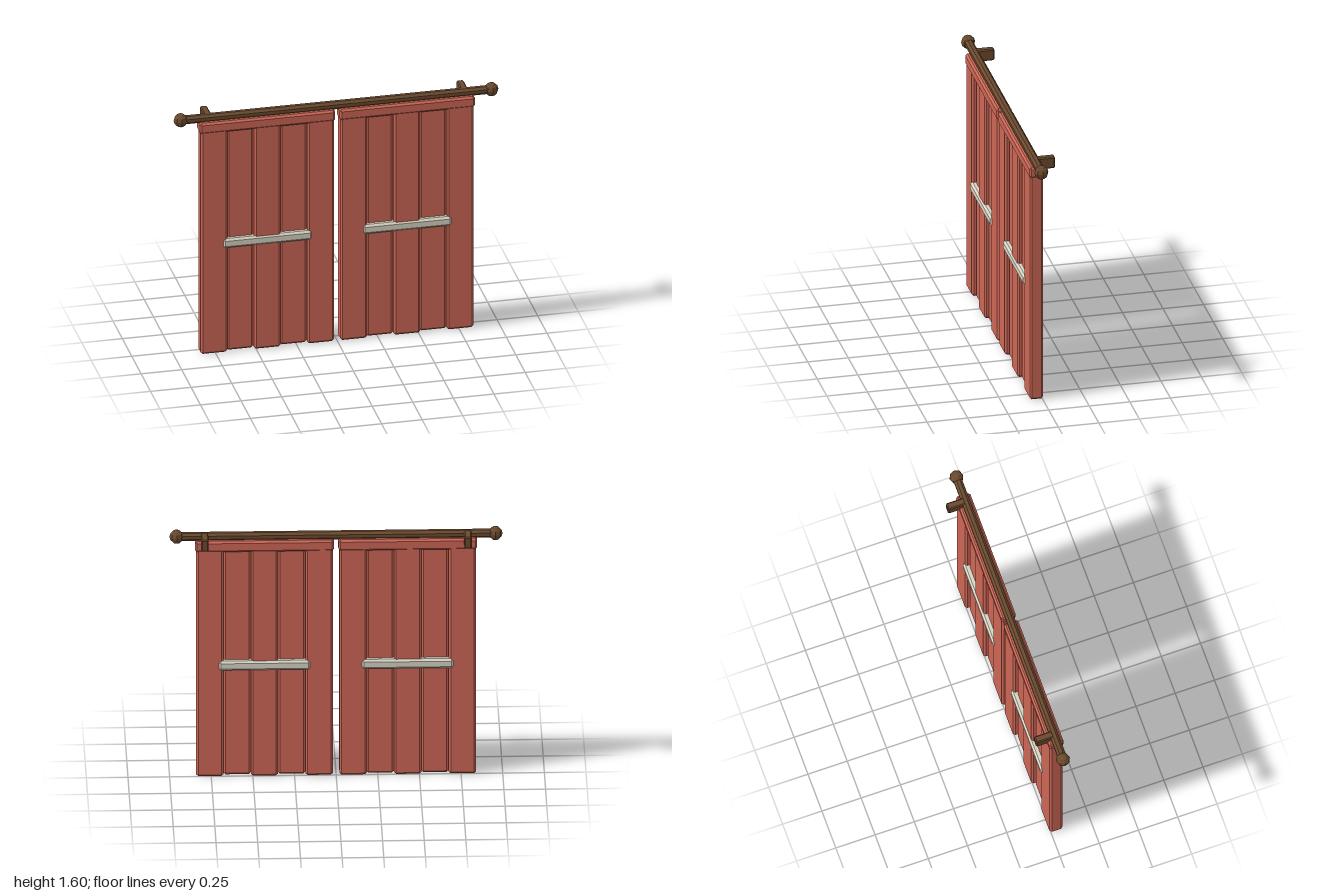
import * as THREE from 'three';
import { ConvexGeometry } from 'three/addons/geometries/ConvexGeometry.js';

const mat = (color) => new THREE.MeshStandardMaterial({ color, flatShading: true });

// Box given by its min/max corners, with every edge chamfered by c.
function chamferBox([x0, y0, z0], [x1, y1, z1], c) {
  const h = [(x1 - x0) / 2, (y1 - y0) / 2, (z1 - z0) / 2];
  const points = [];
  for (const sx of [-1, 1]) for (const sy of [-1, 1]) for (const sz of [-1, 1]) {
    for (let axis = 0; axis < 3; axis++) {
      const inset = h.map((v, i) => (i === axis ? v : v - c));
      points.push(new THREE.Vector3(sx * inset[0], sy * inset[1], sz * inset[2]));
    }
  }
  return new ConvexGeometry(points).translate((x0 + x1) / 2, (y0 + y1) / 2, (z0 + z1) / 2);
}

export function createModel() {
  const model = new THREE.Group();
  model.name = 'curtains';
  const cloth = mat(0xcc6655);
  const wood = mat(0x6b4a2e);
  const cream = mat(0xd8d4c4);

  const add = (parent, name, geometry, material) => {
    const mesh = new THREE.Mesh(geometry, material);
    mesh.name = name;
    parent.add(mesh);
    return mesh;
  };

  // Rod
  const rodY = 1.556, rodZ = 0.035;
  const rod = new THREE.CylinderGeometry(0.027, 0.027, 1.88, 8).rotateY(Math.PI / 8).rotateZ(Math.PI / 2);
  add(model, 'rod', rod.translate(0, rodY, rodZ), wood);

  for (const side of [-1, 1]) {
    const label = side > 0 ? 'left' : 'right';
    // Box placed on the chosen side, from its inner to its outer x
    const sideBox = (xIn, xOut, y0, y1, z0, z1, c) => chamferBox(
      [Math.min(side * xIn, side * xOut), y0, z0],
      [Math.max(side * xIn, side * xOut), y1, z1], c);

    // Rod end and wall bracket
    const ball = new THREE.SphereGeometry(0.043, 8, 6).translate(side * 0.957, rodY, rodZ);
    add(model, `${label}Finial`, ball, wood);
    add(model, `${label}Bracket`, sideBox(0.768, 0.812, 1.505, 1.58, -0.084, 0.03, 0.007), wood);

    // Curtain of five pleats, the second and fourth set back on both faces
    const curtain = new THREE.Group();
    curtain.name = `${label}Curtain`;
    model.add(curtain);
    const start = 0.02, width = 0.164;
    for (let i = 0; i < 5; i++) {
      const recess = i % 2 ? 0.023 : 0;
      const x = start + i * width;
      add(curtain, `pleat${i + 1}`,
        sideBox(x, x + width, 0, 1.51, -0.006 + recess, 0.076 - recess, 0.012), cloth);
    }

    // Header band and tieback
    add(curtain, 'header', sideBox(0.013, 0.847, 1.467, 1.538, -0.011, 0.081, 0.012), cloth);
    add(curtain, 'tieback', sideBox(0.155, 0.705, 0.695, 0.756, -0.018, 0.085, 0.013), cream);
  }
  return model;
}
